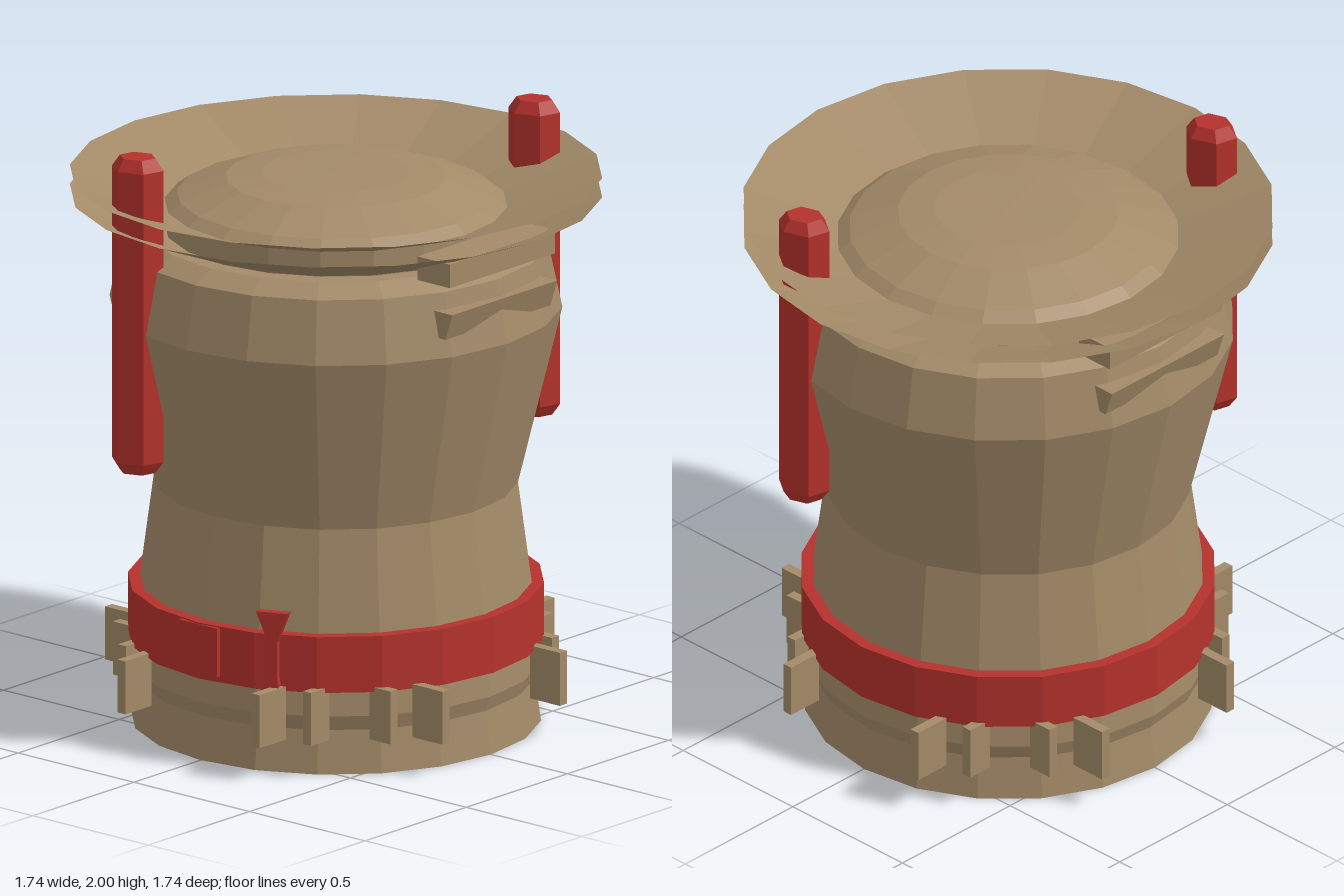
import * as THREE from 'three';

const TAN = new THREE.MeshStandardMaterial({ color: 0xa38a68, flatShading: true });
const TAN_THIN = new THREE.MeshStandardMaterial({ color: 0xa38a68, flatShading: true, side: THREE.DoubleSide });
const RED = new THREE.MeshStandardMaterial({ color: 0xb5322c, flatShading: true });
const SIDES = 20;

export function createModel() {
  const model = new THREE.Group();

  const add = (name, geometry, material, x = 0, y = 0, z = 0) => {
    const mesh = new THREE.Mesh(geometry, material);
    mesh.name = name;
    mesh.position.set(x, y, z);
    model.add(mesh);
    return mesh;
  };
  const lathe = (points) =>
    new THREE.LatheGeometry(points.map(([r, y]) => new THREE.Vector2(r, y)), SIDES);
  const extrude = (points, depth) => {
    const shape = new THREE.Shape(points.map(([x, y]) => new THREE.Vector2(x, y)));
    return new THREE.ExtrudeGeometry(shape, { depth, bevelEnabled: false }).translate(0, 0, -depth / 2);
  };

  // Waisted body with a shallow groove near the foot, closed below
  add('body', lathe([
    [0, 0], [0.67, 0], [0.65, 0.145], [0.665, 0.195], [0.655, 0.3], [0.64, 0.47],
    [0.595, 0.81], [0.74, 1.41], [0.695, 1.62], [0.62, 1.66], [0.55, 1.66],
  ]), TAN);

  // Two thin flared brims, one above the other
  add('lowerBrim', lathe([[0.56, 1.662], [0.87, 1.785]]), TAN_THIN);
  add('upperBrim', lathe([[0.56, 1.745], [0.87, 1.85]]), TAN_THIN);

  // Domed head
  add('head', lathe([[0.56, 1.66], [0.56, 1.745], [0.52, 1.775], [0.36, 1.835], [0.24, 1.85], [0, 1.855]]), TAN);

  // Belt with square buckle and a knot
  add('belt', lathe([[0.64, 0.28], [0.68, 0.28], [0.68, 0.47], [0.64, 0.47]]), RED);
  add('buckle', new THREE.BoxGeometry(0.165, 0.165, 0.02), RED, 0, 0.383, 0.672);
  const knot = add('knot', extrude([
    [-0.055, 0.16], [0.055, 0.16], [0.018, 0.06], [0.018, -0.06],
    [0.03, -0.16], [-0.06, -0.16], [-0.018, -0.05], [-0.018, 0.07],
  ], 0.03), RED, 0.275, 0.39, 0.625);
  knot.rotation.y = Math.atan2(0.275, 0.625);

  // Upright fins in pairs around the foot, mirrored on all four sides
  const fin = (width) => extrude([
    [-width / 2, -0.09], [width / 2, -0.09], [width / 2, 0.09], [-width / 2, 0.09],
  ], 0.035);
  for (const sx of [-1, 1]) for (const sz of [-1, 1]) {
    for (const [offset, reach, width] of [[0.29, 0.665, 0.13], [0.4, 0.555, 0.09]]) {
      add('footFin', fin(width), TAN, sx * reach, 0.205, sz * offset);
      add('footFin', fin(width), TAN, sx * offset, 0.205, sz * reach).rotation.y = Math.PI / 2;
    }
  }

  // Side handles: a block under the brim and a wedge-shaped ledge below it
  for (const s of [-1, 1]) {
    add('handleBlock', new THREE.BoxGeometry(0.14, 0.08, 0.52), TAN, s * 0.65, 1.695, 0);
    const ledge = add('handleLedge', extrude([
      [0.61, 1.565], [0.67, 1.475], [0.7, 1.475], [0.73, 1.565],
    ], 0.52), TAN);
    ledge.rotation.y = s > 0 ? 0 : Math.PI;
  }

  // Flattened six-sided rods with bevelled ends, standing through the brim
  const rodShape = new THREE.LatheGeometry([
    [0, 0], [0.062, 0], [0.09, 0.04], [0.09, 1.03], [0.062, 1.07], [0, 1.07],
  ].map(([r, y]) => new THREE.Vector2(r, y)), 6);
  rodShape.rotateY(Math.PI / 2).scale(1, 1, 0.82).rotateY(0.35);
  for (const s of [-1, 1]) add('rod', rodShape, RED, s * 0.27, 0.93, s * -0.672);

  return model;
}
